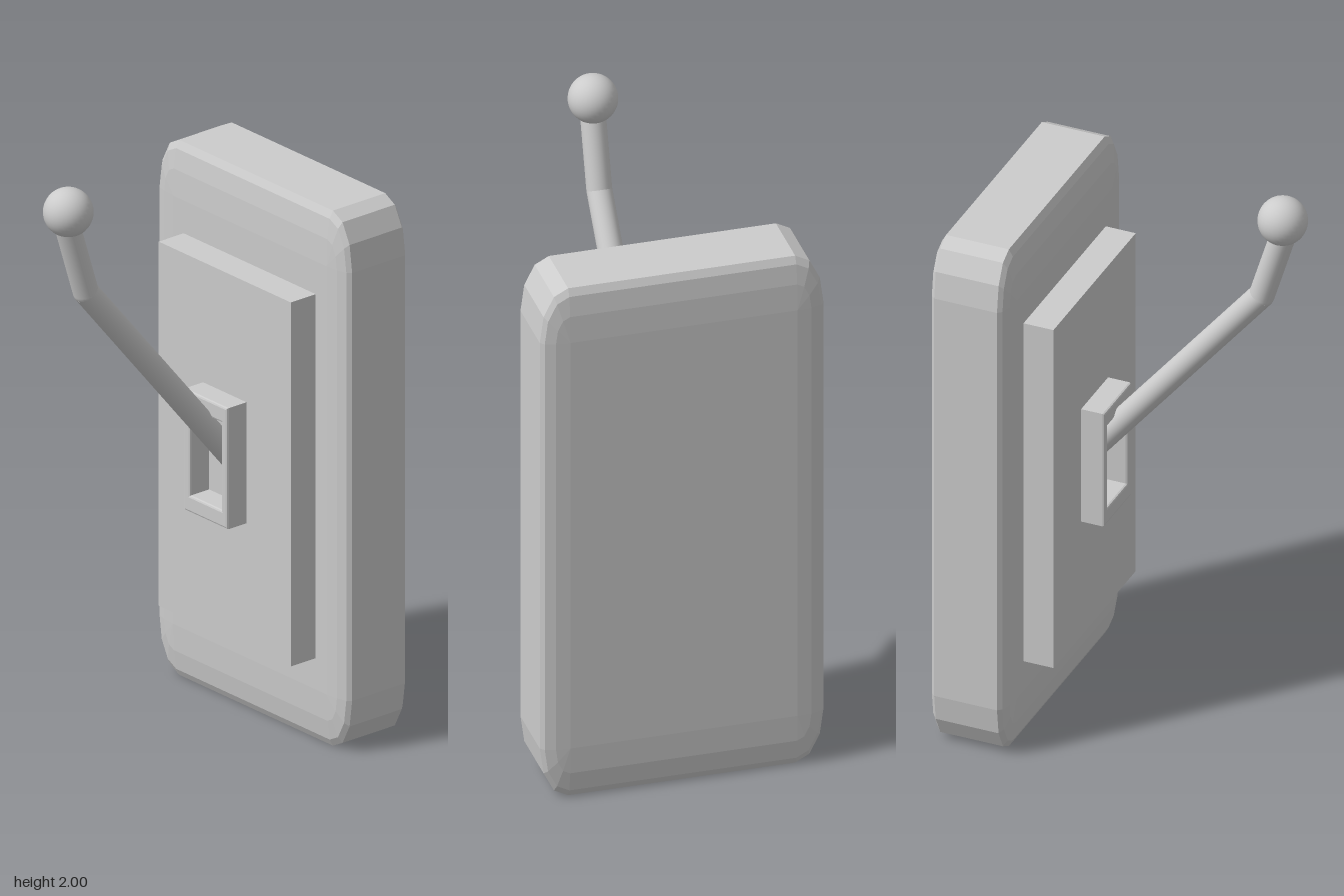
import * as THREE from 'three';

const smooth = new THREE.MeshStandardMaterial({ color: 0xcccccc });
const flat = new THREE.MeshStandardMaterial({ color: 0xcccccc, flatShading: true });

function addMesh(parent, name, geometry, material, x = 0, y = 0, z = 0) {
  const mesh = new THREE.Mesh(geometry, material);
  mesh.name = name;
  mesh.position.set(x, y, z);
  parent.add(mesh);
  return mesh;
}

// Bevelled block: a unit cube with rounded edges, stretched to half sizes hx, hy, hz
function bevelledBlock(hx, hy, hz, bevel = 0.2, steps = 3) {
  const pos = [], index = [];
  const core = 1 - bevel, quarter = Math.PI / 2, n = 4 * (steps + 1);
  const rows = 2 * (steps + 1);
  for (let r = 0; r < rows; r++) {
    const back = r <= steps;
    const phi = quarter * (back ? (r - steps) / steps : (r - steps - 1) / steps);
    const z = (back ? -core : core) + bevel * Math.sin(phi);
    for (let c = 0; c < 4; c++) {
      const sx = c === 0 || c === 3 ? 1 : -1, sy = c < 2 ? 1 : -1;
      for (let s = 0; s <= steps; s++) {
        const a = quarter * (c + s / steps), rad = bevel * Math.cos(phi);
        pos.push(hx * (sx * core + rad * Math.cos(a)), hy * (sy * core + rad * Math.sin(a)), hz * z);
      }
    }
  }
  for (let r = 0; r < rows - 1; r++) {
    for (let i = 0; i < n; i++) {
      const a = r * n + i, b = r * n + (i + 1) % n;
      index.push(a, b, b + n, a, b + n, a + n);
    }
  }
  // Flat front and back faces
  const k = steps + 1, f = (rows - 1) * n;
  index.push(f, f + k, f + 2 * k, f, f + 2 * k, f + 3 * k);
  index.push(0, 2 * k, k, 0, 3 * k, 2 * k);
  const g = new THREE.BufferGeometry();
  g.setAttribute('position', new THREE.Float32BufferAttribute(pos, 3));
  g.setIndex(index);
  g.computeVertexNormals();
  return g;
}

function rectangle(Type, hx, hy) {
  return new Type([[-hx, -hy], [hx, -hy], [hx, hy], [-hx, hy]].map(([x, y]) => new THREE.Vector2(x, y)));
}

function addRod(parent, name, from, to, radius) {
  const dir = to.clone().sub(from);
  const rod = addMesh(parent, name, new THREE.CylinderGeometry(radius, radius, dir.length(), 32), smooth);
  rod.position.copy(from).add(to).multiplyScalar(0.5);
  rod.quaternion.setFromUnitVectors(new THREE.Vector3(0, 1, 0), dir.normalize());
}

export function createModel() {
  const model = new THREE.Group();
  model.name = 'leverSwitch';

  // Wall body and raised plate
  addMesh(model, 'body', bevelledBlock(0.465, 0.915, 0.135), flat, 0, 0.915, -0.415);
  addMesh(model, 'plate', new THREE.BoxGeometry(0.64, 1.245, 0.115), flat, 0, 0.9125, -0.2345);

  // Slotted frame around the lever
  const frame = rectangle(THREE.Shape, 0.105, 0.207);
  frame.holes.push(rectangle(THREE.Path, 0.076, 0.15));
  const bevel = 0.007;
  const frameGeometry = new THREE.ExtrudeGeometry(frame, {
    depth: 0.086, bevelEnabled: true, bevelThickness: bevel, bevelSize: bevel, bevelOffset: -bevel, bevelSegments: 2,
  });
  addMesh(model, 'slotFrame', frameGeometry, flat, 0, 0.917, -0.19);

  // Bent lever with ball knob
  const lever = new THREE.Group();
  lever.name = 'lever';
  model.add(lever);
  const root = new THREE.Vector3(0, 0.88, -0.22);
  const bend = new THREE.Vector3(0, 1.628, 0.398);
  const tip = new THREE.Vector3(0, 1.9, 0.482);
  addRod(lever, 'lowerRod', root, bend, 0.041);
  addRod(lever, 'upperRod', bend, tip, 0.041);
  addMesh(lever, 'bendJoint', new THREE.SphereGeometry(0.041, 32, 16), smooth, bend.x, bend.y, bend.z);
  addMesh(lever, 'knob', new THREE.SphereGeometry(0.08, 32, 20), smooth, 0, 1.92, 0.47);

  return model;
}
